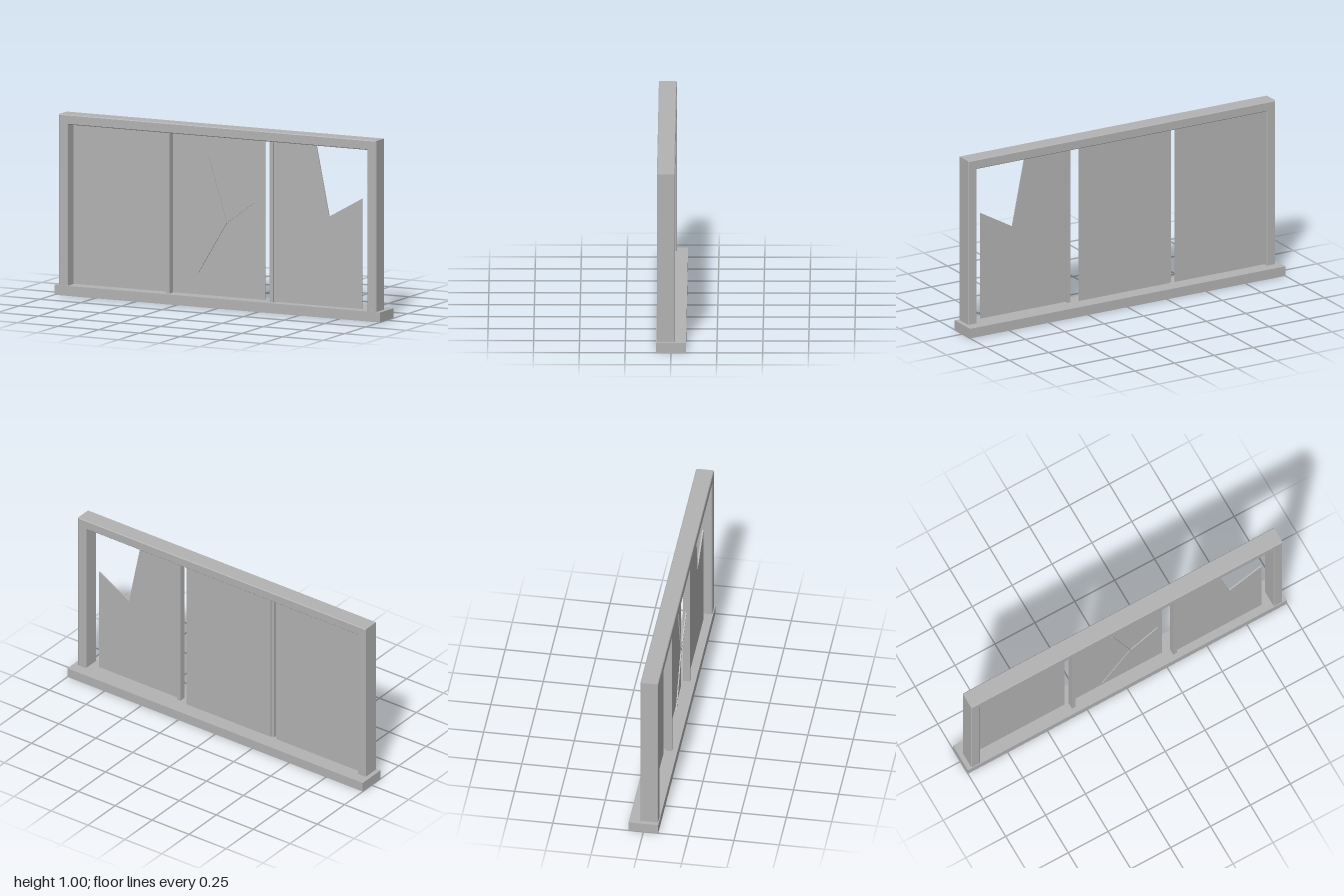
import * as THREE from 'three';

export function createModel() {
  const group = new THREE.Group();
  group.name = 'brokenWindow';
  const grey = new THREE.MeshStandardMaterial({ color: 0xb2b2b2 });
  grey.name = 'plain grey';

  const add = (name, geometry) => {
    const mesh = new THREE.Mesh(geometry, grey);
    mesh.name = name;
    group.add(mesh);
    return mesh;
  };
  // Box given by its limits on each axis
  const box = (name, x0, x1, y0, y1, z0, z1) =>
    add(name, new THREE.BoxGeometry(x1 - x0, y1 - y0, z1 - z0))
      .position.set((x0 + x1) / 2, (y0 + y1) / 2, (z0 + z1) / 2);
  // Flat outline extruded from z0 to z1, with an optional chamfer
  const slab = (name, points, z0, z1, bevel = 0) => {
    const shape = new THREE.Shape(points.map(([x, y]) => new THREE.Vector2(x, y)));
    const geometry = new THREE.ExtrudeGeometry(shape, {
      depth: z1 - z0 - 2 * bevel, bevelEnabled: bevel > 0, bevelSize: bevel,
      bevelThickness: bevel, bevelOffset: -bevel, bevelSegments: 1,
    });
    add(name, geometry).position.z = z0 + bevel;
  };

  // Sill
  box('sill', -1, 1, 0, 0.055, -0.082, 0.082);

  // Two posts and the head beam, with softened edges
  slab('frame', [
    [-0.975, 0.045], [-0.92, 0.045], [-0.92, 0.946], [0.92, 0.946],
    [0.92, 0.045], [0.975, 0.045], [0.975, 1], [-0.975, 1],
  ], -0.021, 0.077, 0.004);

  // Mullions
  for (const x of [-0.319, 0.316]) {
    box('mullion', x - 0.011, x + 0.011, 0.055, 0.946, 0.013, 0.051);
  }

  // Two whole panes and a broken one
  box('leftPane', -0.922, -0.352, 0.057, 0.946, 0.002, 0.01);
  box('middlePane', -0.314, 0.257, 0.057, 0.946, 0.002, 0.01);
  slab('brokenPane', [
    [0.31, 0.057], [0.867, 0.057], [0.867, 0.667],
    [0.665, 0.553], [0.585, 0.946], [0.31, 0.946],
  ], 0.029, 0.037);

  // Crack lines meeting in one point
  const hub = [0.037, 0.472];
  for (const [x, y] of [[-0.075, 0.835], [0.213, 0.602], [-0.135, 0.187]]) {
    const dx = x - hub[0], dy = y - hub[1];
    const crack = add('crack', new THREE.BoxGeometry(Math.hypot(dx, dy), 0.008, 0.006));
    crack.position.set(hub[0] + dx / 2, hub[1] + dy / 2, 0.045);
    crack.rotation.z = Math.atan2(dy, dx);
  }
  return group;
}
